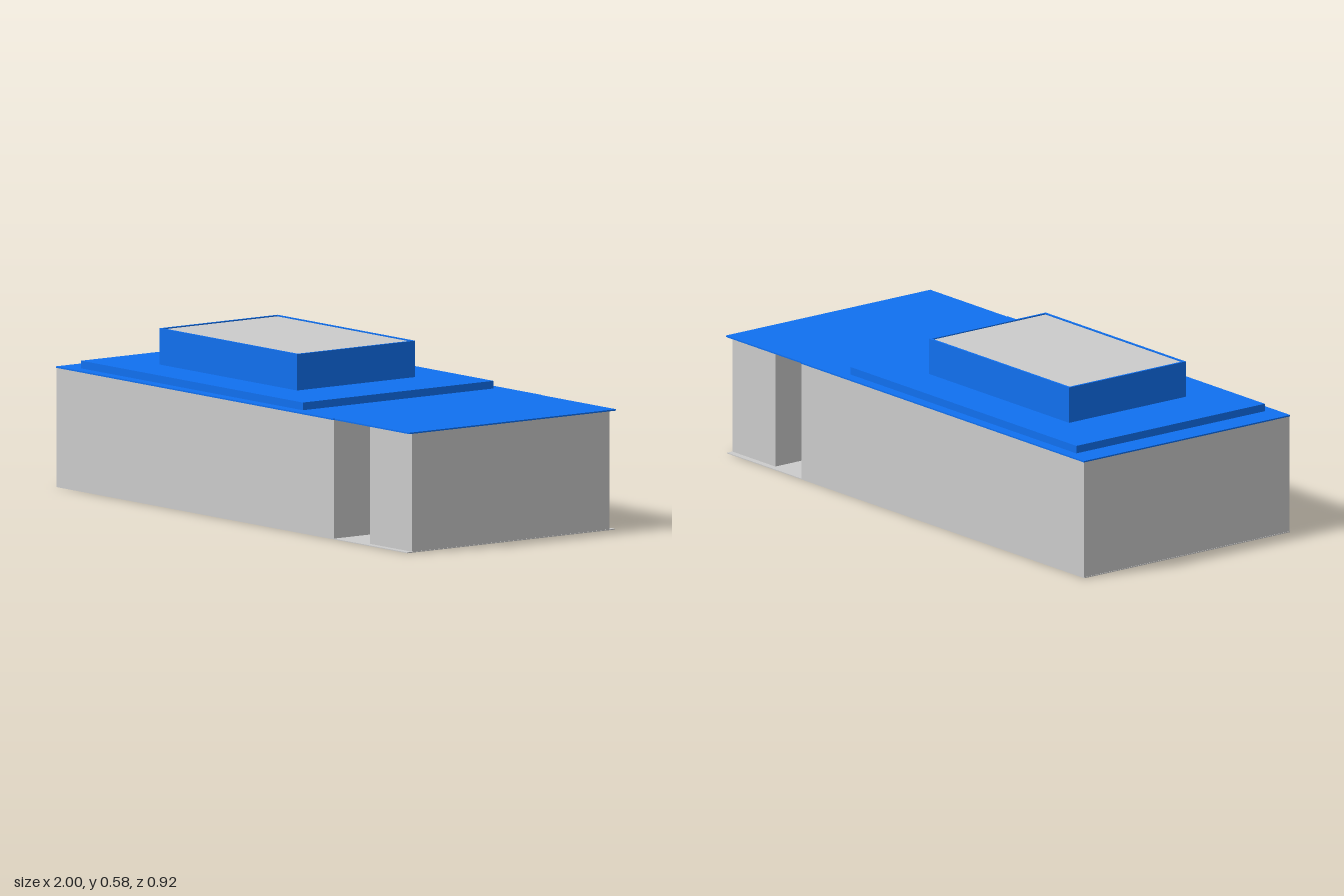
import * as THREE from 'three';

const grey = new THREE.MeshStandardMaterial({ color: 0xcccccc });
const blue = new THREE.MeshStandardMaterial({ color: 0x1070f0 });

// Box given by its x and y range and its half depth in z
function block(name, x0, x1, y0, y1, halfZ, material) {
  const mesh = new THREE.Mesh(new THREE.BoxGeometry(x1 - x0, y1 - y0, halfZ * 2), material);
  mesh.position.set((x0 + x1) / 2, (y0 + y1) / 2, 0);
  mesh.name = name;
  return mesh;
}

// Rectangular ring with upright walls, open in the middle
function ring(name, x0, x1, y0, y1, halfZ, wall, material) {
  const rect = (Type, inset) => new Type([
    new THREE.Vector2(x0 + inset, -halfZ + inset),
    new THREE.Vector2(x1 - inset, -halfZ + inset),
    new THREE.Vector2(x1 - inset, halfZ - inset),
    new THREE.Vector2(x0 + inset, halfZ - inset),
  ]);
  const shape = rect(THREE.Shape, 0);
  shape.holes.push(rect(THREE.Path, wall));
  const geometry = new THREE.ExtrudeGeometry(shape, { depth: y1 - y0, bevelEnabled: false });
  geometry.rotateX(-Math.PI / 2);
  const mesh = new THREE.Mesh(geometry, material);
  mesh.position.y = y0;
  mesh.name = name;
  return mesh;
}

export function createModel() {
  const model = new THREE.Group();
  model.name = 'building';
  model.add(
    // Ground slab shared by both blocks and the passage between them
    block('floor', -1, 0.99, 0, 0.003, 0.458, grey),
    // Long hall, open passage, then the small end block
    block('mainHall', -0.998, 0.575, 0.003, 0.42, 0.458, grey),
    block('endBlock', 0.75, 0.988, 0.003, 0.42, 0.435, grey),
    // Thin roof sheets; the one over the passage is slightly narrower
    block('mainRoof', -1, 0.575, 0.42, 0.425, 0.46, blue),
    block('passageRoof', 0.575, 1, 0.42, 0.425, 0.456, blue),
    // Stepped upper storey
    block('roofStep', -0.908, 0.35, 0.425, 0.452, 0.42, blue),
    ring('upperWalls', -0.668, 0.112, 0.452, 0.58, 0.26, 0.008, blue),
    block('upperRoof', -0.66, 0.104, 0.56, 0.576, 0.252, grey),
  );
  return model;
}
